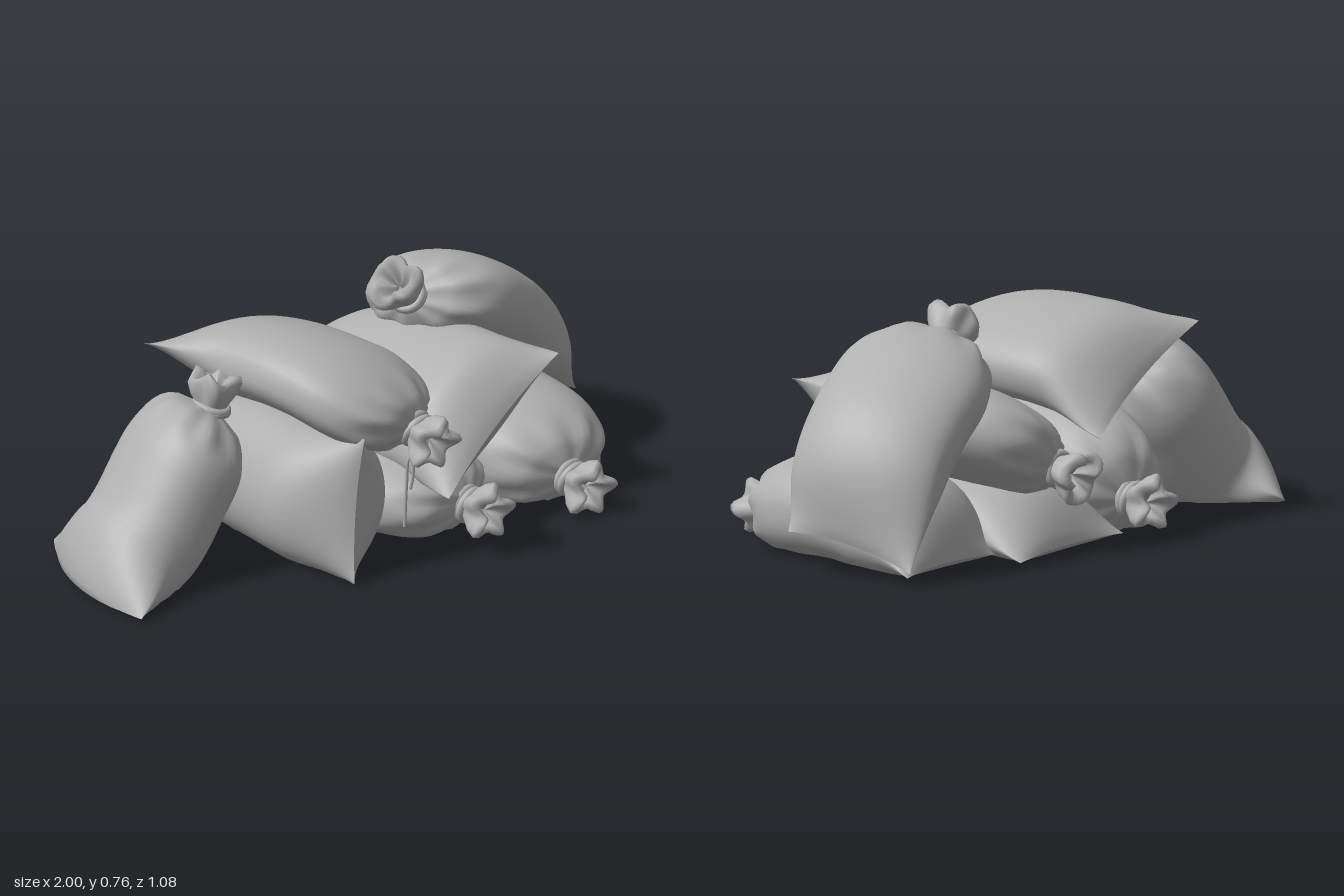
import * as THREE from 'three';

const V = (p) => new THREE.Vector3(...p);
const smooth = (a, b, x) => THREE.MathUtils.smoothstep(x, a, b);
const lerp = THREE.MathUtils.lerp;
const sgnPow = (x, p) => Math.sign(x) * Math.abs(x) ** p;

// Closed skin through rings of points: at(i, angle) gives each vertex
function loft(rings, sides, at) {
  const pos = [], index = [];
  for (let i = 0; i < rings; i++) {
    for (let j = 0; j < sides; j++) pos.push(...at(i, (j / sides) * Math.PI * 2).toArray());
  }
  for (let i = 0; i < rings - 1; i++) {
    for (let j = 0; j < sides; j++) {
      const k = (j + 1) % sides;
      const a = i * sides + j, b = i * sides + k, c = a + sides, d = b + sides;
      index.push(a, b, c, b, d, c);
    }
  }
  const g = new THREE.BufferGeometry();
  g.setAttribute('position', new THREE.Float32BufferAttribute(pos, 3));
  g.setIndex(index);
  g.computeVertexNormals();
  return g;
}

// Pillow-shaped body: flat seam with two corners at t = 0, gathered neck at t = 1.
// w, h: half width and thickness; rise: where full thickness is reached;
// pull: inward draw of the seam edge; lean: width direction of the belly
function bodyGeometry({ corners, w, h, rise = 0.32, pull = 0.025, lean }, curve) {
  const seam = V(corners[1]).sub(V(corners[0]));
  const seamHalf = seam.length() / 2;
  seam.normalize();
  const belly = lean ? V(lean).normalize() : seam;
  const N = 40, neck = 0.045;
  return loft(N + 1, 48, (i, th) => {
    const t = (i / N) ** 1.15;
    const c = curve.getPointAt(t), tan = curve.getTangentAt(t);
    const u = seam.clone().lerp(belly, smooth(0, 0.4, t));
    u.addScaledVector(tan, -u.dot(tan) * smooth(0, 0.3, t)).normalize();
    const n = tan.clone().cross(u).normalize();
    const shoulder = t < 0.66 ? 1 : Math.sqrt(Math.max(0, 1 - ((t - 0.66) / 0.34) ** 2.2));
    const hw = lerp(neck, lerp(seamHalf, w, smooth(0, 0.3, t)), shoulder);
    const hh = lerp(neck, h, shoulder) * Math.sin(Math.PI / 2 * Math.min(1, t / rise)) ** 0.75;
    const folds = 1 + 0.07 * smooth(0.8, 0.97, t) * Math.cos(9 * th);
    const lens = lerp(1.4, 0.83, smooth(0, 0.35, t));
    const p = c.addScaledVector(u, hw * folds * Math.cos(th))
      .addScaledVector(n, hh * folds * sgnPow(Math.sin(th), lens));
    p.addScaledVector(tan, pull * Math.sin(th) ** 2 * (1 - smooth(0, 0.3, t)));
    p.y = Math.max(p.y, 0.02);
    return p;
  });
}

// Crumpled tuft beyond the tie, along +z
function tuftGeometry() {
  const profile = [[-0.02, 0.042], [0, 0.04], [0.025, 0.05], [0.06, 0.07], [0.095, 0.08],
    [0.115, 0.074], [0.113, 0.05], [0.08, 0.03], [0.06, 0.002]];
  return loft(profile.length, 40, (i, th) => {
    const [z, r0] = profile[i];
    const k = smooth(0, 0.09, z);
    const r = r0 * (1 + k * (0.16 * Math.cos(5 * th) + 0.1 * Math.cos(3 * th + 1)));
    return new THREE.Vector3(r * Math.cos(th), r * Math.sin(th), z + 0.014 * k * Math.sin(4 * th + 0.7));
  });
}

const SACKS = [
  { name: 'leftStandingSack', corners: [[-1, 0.02, 0.16], [-0.8, 0.03, -0.45]], w: 0.22, h: 0.18, rise: 0.25, pull: -0.08,
    mids: [[-0.74, 0.13, -0.12], [-0.62, 0.29, -0.11], [-0.54, 0.41, -0.1]], neck: [-0.48, 0.49, -0.08], aim: [0.2, 1, 0] },
  { name: 'upperLeftSack', corners: [[-0.5, 0.63, -0.36], [0.04, 0.35, -0.44]], w: 0.26, h: 0.13, lean: [0.97, -0.25, 0],
    mids: [[-0.17, 0.55, -0.15], [-0.14, 0.55, 0.12]], neck: [-0.05, 0.45, 0.38], aim: [0, -0.25, 1] },
  { name: 'lowerLeftSack', corners: [[-0.34, 0.02, 0.42], [-0.27, 0.48, 0.39]], w: 0.22, h: 0.21,
    mids: [[-0.24, 0.21, 0.15], [-0.18, 0.19, -0.15]], neck: [-0.13, 0.13, -0.41], aim: [0, 0, -1] },
  { name: 'lowerMiddleSack', corners: [[0.47, 0.03, -0.5], [-0.09, 0.03, -0.42]], w: 0.26, h: 0.14,
    mids: [[0.17, 0.12, -0.1], [0.16, 0.12, 0.13]], neck: [0.21, 0.1, 0.34], aim: [0.1, 0, 1] },
  { name: 'upperMiddleSack', corners: [[0.04, 0.2, 0.44], [0.57, 0.51, 0.37]], w: 0.275, h: 0.15, rise: 0.25,
    mids: [[0.295, 0.355, 0.15], [0.26, 0.345, -0.12]], neck: [0.16, 0.265, -0.365], aim: [0, -0.15, -1] },
  { name: 'lowerRightSack', corners: [[0.88, 0.03, -0.4], [0.4, 0.03, -0.36]], w: 0.25, h: 0.17,
    mids: [[0.62, 0.14, -0.1], [0.6, 0.145, 0.17]], neck: [0.58, 0.1, 0.41], aim: [0, -0.1, 1] },
  { name: 'upperRightSack', corners: [[0.99, 0.14, 0], [0.9, 0.05, -0.43]], w: 0.25, h: 0.15, rise: 0.5,
    mids: [[0.77, 0.38, -0.17], [0.56, 0.54, -0.12]], neck: [0.34, 0.635, -0.06], aim: [-0.6, 0.6, 0.1] },
];

export function createModel() {
  const cloth = new THREE.MeshStandardMaterial({ color: 0xb0b0b0 });
  cloth.name = 'greyCloth';
  const model = new THREE.Group();
  model.name = 'sackPile';
  const add = (parent, name, geo) => {
    const m = new THREE.Mesh(geo, cloth);
    m.name = name;
    parent.add(m);
    return m;
  };
  const tuft = tuftGeometry();
  const ring = new THREE.TorusGeometry(0.05, 0.013, 8, 28);

  for (const s of SACKS) {
    const sack = new THREE.Group();
    sack.name = s.name;
    const seamMid = V(s.corners[0]).add(V(s.corners[1])).multiplyScalar(0.5);
    const curve = new THREE.CatmullRomCurve3([seamMid, ...s.mids.map(V), V(s.neck)]);
    add(sack, 'body', bodyGeometry(s, curve));

    // Tied neck: two turns of cord and the gathered tuft
    const knot = new THREE.Group();
    knot.name = 'knot';
    knot.position.copy(V(s.neck));
    knot.quaternion.setFromUnitVectors(new THREE.Vector3(0, 0, 1), V(s.aim).normalize());
    add(knot, 'tuft', tuft);
    add(knot, 'tieCord', ring);
    const second = add(knot, 'tieCord', ring);
    second.position.z = 0.016;
    second.rotation.x = 0.2;
    sack.add(knot);
    model.add(sack);
  }

  // Loose cord ends hanging from the upper left sack
  for (const [x, y] of [[-0.11, 0.14], [-0.085, 0.26]]) {
    const path = new THREE.CatmullRomCurve3([
      V([-0.06, 0.42, 0.42]), V([x, 0.38, 0.42]), V([x, 0.3, 0.41]), V([x, y, 0.4])]);
    add(model, 'hangingCord', new THREE.TubeGeometry(path, 20, 0.005, 6));
  }
  return model;
}
